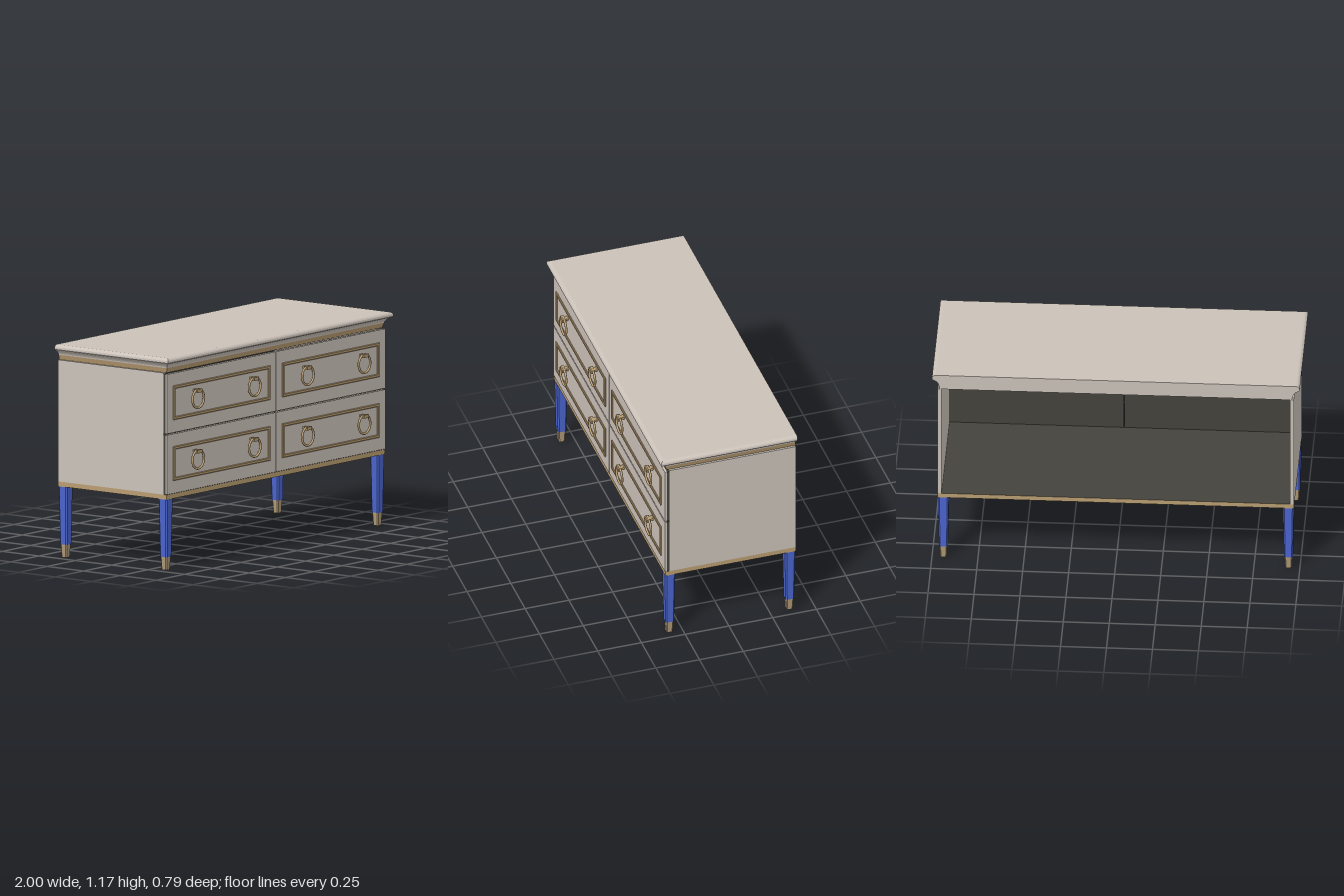
import * as THREE from 'three';

const mat = (name, color) => Object.assign(new THREE.MeshStandardMaterial({ color }), { name });

export function createModel() {
  const paint = mat('warm grey paint', 0xcbc2b9);
  const gold = mat('antique gold', 0xb99d72);
  const ferrule = mat('brass foot', 0xb09976);
  const blue = mat('blue leg', 0x4a64cc);
  const dark = mat('dark interior', 0x45433c);

  const model = new THREE.Group();
  model.name = 'dresser';
  const W = 0.968, FRONT = 0.355, BACK = -0.393;

  const add = (name, geometry, material, parent = model) => {
    const mesh = new THREE.Mesh(geometry, material);
    mesh.name = name;
    parent.add(mesh);
    return mesh;
  };
  // Box given by its minimum and maximum corners
  const box = (name, [x0, y0, z0], [x1, y1, z1], material, parent) => {
    const m = add(name, new THREE.BoxGeometry(x1 - x0, y1 - y0, z1 - z0), material, parent);
    m.position.set((x0 + x1) / 2, (y0 + y1) / 2, (z0 + z1) / 2);
    return m;
  };

  // Moulding: rectangular sections [overhang, y] joined on the chosen sides
  const section = ([o, y]) => [
    [-W - o, y, BACK], [-W - o, y, FRONT + o], [W + o, y, FRONT + o], [W + o, y, BACK],
  ];
  const quads = (list) => {
    const pos = [];
    for (const [a, b, c, d] of list) pos.push(...a, ...b, ...c, ...a, ...c, ...d);
    const g = new THREE.BufferGeometry();
    g.setAttribute('position', new THREE.Float32BufferAttribute(pos, 3));
    g.computeVertexNormals();
    return g;
  };
  const band = (profile, sides) => {
    const list = [];
    for (let i = 0; i < profile.length - 1; i++) {
      const lo = section(profile[i]), hi = section(profile[i + 1]);
      for (const s of sides) {
        const t = (s + 1) % 4;
        list.push([lo[s], lo[t], hi[t], hi[s]]);
      }
    }
    return list;
  };

  // Top slab with rounded edge and cove beneath
  const goldProfile = [[-0.012, 1.086], [-0.004, 1.113]];
  const topProfile = [
    [-0.004, 1.113], [-0.002, 1.12], [0.003, 1.128], [0.011, 1.135], [0.02, 1.139], [0.026, 1.142],
    [0.031, 1.147], [0.032, 1.153], [0.031, 1.16], [0.027, 1.166], [0.02, 1.171], [0.012, 1.173],
  ];
  add('topSlab', quads([
    ...band(topProfile, [0, 1, 2, 3]),
    ...band(goldProfile, [3]),
    section(topProfile.at(-1)),
  ]), paint);
  add('topGoldTrim', quads(band(goldProfile, [0, 1, 2])), gold);
  add('ceiling', quads([section(goldProfile[0]).reverse()]), dark);

  // Base board with gold edge, and the two side panels; the back is open
  box('baseBoard', [-W, 0.39, BACK], [W, 0.417, 0.352], [gold, gold, dark, paint, gold, gold]);
  for (const s of [-1, 1]) {
    const x = s * (W - 0.01);
    box('sidePanel', [x - 0.01, 0.417, BACK], [x + 0.01, 1.086, 0.33], paint);
  }

  // Raised rectangular frame
  const frameGeometry = (w, h, t) => {
    const rect = (target, a, b) => {
      target.moveTo(-a, -b);
      target.lineTo(a, -b);
      target.lineTo(a, b);
      target.lineTo(-a, b);
      target.closePath();
      return target;
    };
    const shape = rect(new THREE.Shape(), w / 2 - 0.003, h / 2 - 0.003);
    shape.holes.push(rect(new THREE.Path(), w / 2 - t + 0.003, h / 2 - t + 0.003));
    return new THREE.ExtrudeGeometry(shape, {
      depth: 0.003, bevelEnabled: true, bevelSegments: 1, bevelSize: 0.003, bevelThickness: 0.003,
    });
  };
  const frame = frameGeometry(0.86, 0.188, 0.017);
  const ring = new THREE.TorusGeometry(0.051, 0.0065, 10, 36);

  // Four drawers, each with a dark backing, a frame and two ring pulls
  for (const [y0, y1] of [[0.419, 0.746], [0.753, 1.08]]) {
    for (const [x0, x1, pulls] of [[-W, -0.005, [-0.724, -0.222]], [-0.001, W, [0.249, 0.751]]]) {
      const drawer = new THREE.Group();
      drawer.name = 'drawer';
      model.add(drawer);
      const cy = (y0 + y1) / 2;
      box('drawerBacking', [x0, y0, 0.33], [x1, y1, 0.343], dark, drawer);
      box('drawerFront', [x0, y0, 0.343], [x1, y1, FRONT], paint, drawer);
      add('drawerFrame', frame, gold, drawer).position.set((pulls[0] + pulls[1]) / 2 - 0.0175 * Math.sign(-x0 - 0.5) * -1, cy + 0.001, FRONT + 0.002);
      drawer.children.at(-1).position.x = x0 < -0.5 ? -0.489 : 0.481;
      for (const x of pulls) {
        add('pullRing', ring, gold, drawer).position.set(x, cy + 0.002, 0.38);
        box('pullStem', [x - 0.014, cy + 0.041, FRONT], [x + 0.014, cy + 0.054, 0.375], gold, drawer);
        box('pullKnob', [x - 0.021, cy + 0.037, 0.37], [x + 0.021, cy + 0.056, 0.393], gold, drawer);
      }
    }
  }

  // Chamfered square post, tapering from the top width to the bottom width
  const post = (top, bottom, height) => {
    const c = 0.36;
    const shape = new THREE.Shape([
      [-c, -0.5], [c, -0.5], [0.5, -c], [0.5, c], [c, 0.5], [-c, 0.5], [-0.5, c], [-0.5, -c],
    ].map(([x, y]) => new THREE.Vector2(x, y)));
    const g = new THREE.ExtrudeGeometry(shape, { depth: height, bevelEnabled: false });
    g.rotateX(-Math.PI / 2);
    const p = g.attributes.position;
    for (let i = 0; i < p.count; i++) {
      const s = THREE.MathUtils.lerp(bottom, top, p.getY(i) / height);
      p.setXYZ(i, p.getX(i) * s, p.getY(i), p.getZ(i) * s);
    }
    g.computeVertexNormals();
    return g;
  };
  const legGeometry = post(0.06, 0.048, 0.318), footGeometry = post(0.043, 0.034, 0.072);
  for (const x of [-0.938, 0.938]) {
    for (const z of [0.323, -0.363]) {
      add('leg', legGeometry, blue).position.set(x, 0.072, z);
      add('legFoot', footGeometry, ferrule).position.set(x, 0, z);
    }
  }
  return model;
}
